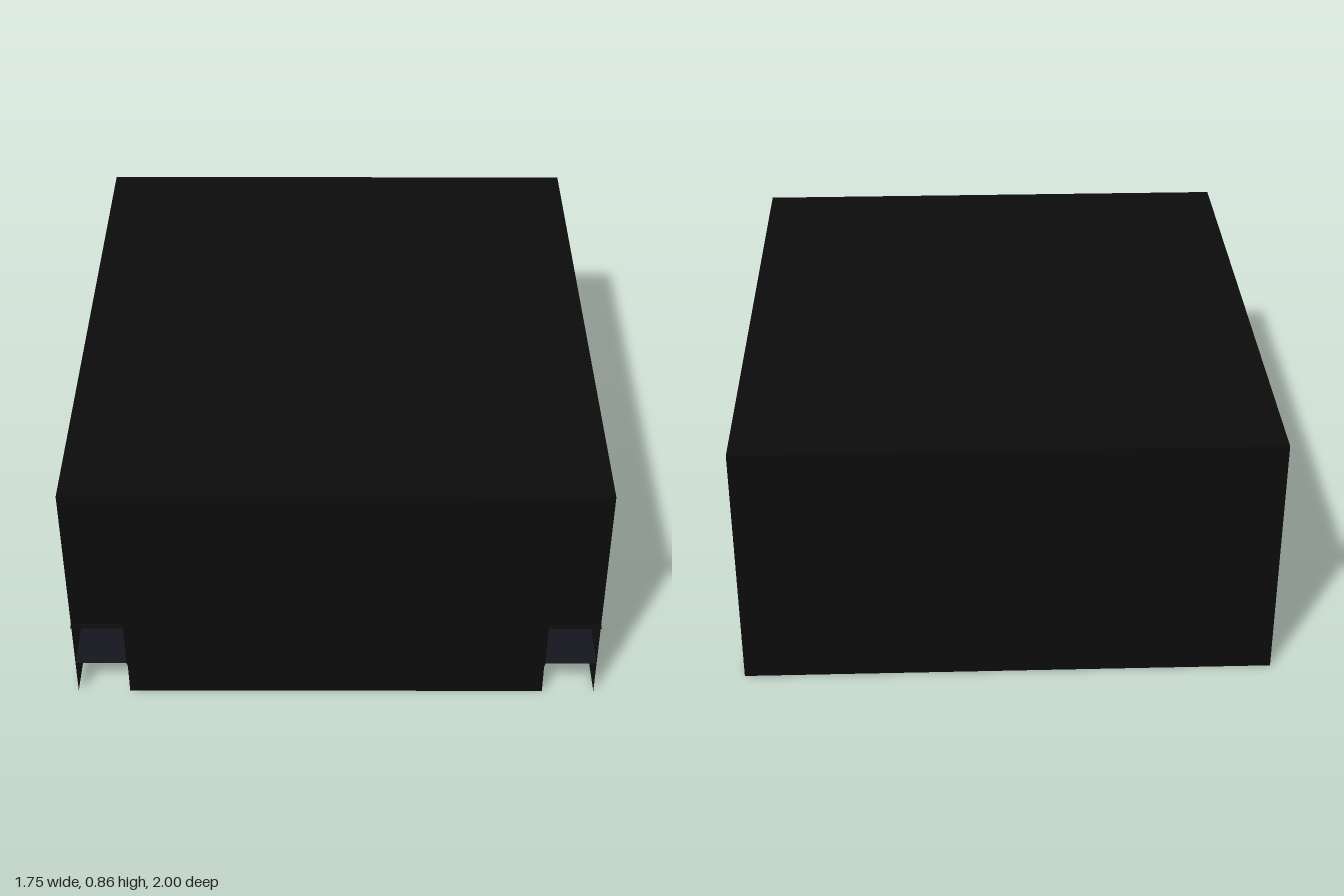
import * as THREE from 'three';

const HALF = 0.875, LANE = 0.7, TOP = 0.857, FRONT = 0.98, LIP = 1;
const MID = -0.23, STAIR = 0.37, FLOOR = 0.13, LINTEL = 0.31;

const mat = (color) =>
  new THREE.MeshStandardMaterial({ color, side: THREE.DoubleSide, flatShading: true });

export function createModel() {
  const model = new THREE.Group();
  const dark = mat(0x0b0b0c), sideWall = mat(0x121213);
  const under = mat(0x0f1118), floor = mat(0x15151d);

  const add = (name, geo, material) => {
    const mesh = new THREE.Mesh(geo, material);
    mesh.name = name;
    model.add(mesh);
  };
  // vertical sheet at x, running in y and z; s is the side it faces
  const upright = (x, s, y0, y1, z0, z1) =>
    new THREE.PlaneGeometry(z1 - z0, y1 - y0).rotateY(s * Math.PI / 2).translate(x, (y0 + y1) / 2, (z0 + z1) / 2);
  // horizontal sheet at y, centred on x
  const level = (x, y, width, z0, z1) =>
    new THREE.PlaneGeometry(width, z1 - z0).rotateX(-Math.PI / 2).translate(x, y, (z0 + z1) / 2);

  // closed rear half
  add('rearBlock', new THREE.BoxGeometry(2 * HALF, TOP, MID + 1).translate(0, TOP / 2, (MID - 1) / 2), dark);

  // hollow front half: roof and front panel with two corner openings
  add('frontRoof', level(0, TOP, 2 * HALF, MID, FRONT), dark);
  const panel = new THREE.Shape([
    [-LANE, 0], [LANE, 0], [LANE, LINTEL], [HALF, LINTEL],
    [HALF, TOP], [-HALF, TOP], [-HALF, LINTEL], [-LANE, LINTEL],
  ].map(([x, y]) => new THREE.Vector2(x, y)));
  add('frontPanel', new THREE.ShapeGeometry(panel).translate(0, 0, FRONT), dark);

  // outer walls and the side passages behind the openings
  const laneWidth = HALF - LANE;
  for (const s of [-1, 1]) {
    const label = s > 0 ? 'left' : 'right';
    const cx = s * (HALF + LANE) / 2;
    add(label + 'SideWall', upright(s * HALF, s, 0, TOP, MID, FRONT), sideWall);
    add(label + 'InnerWall', upright(s * LANE, s, FLOOR, TOP, MID, FRONT), dark);
    add(label + 'InnerWallLip', upright(s * LANE, s, FLOOR, LINTEL, FRONT, LIP), dark);
    add(label + 'PassageCeiling', level(cx, LINTEL, laneWidth, MID, LIP), dark);
    add(label + 'PassageFloor', level(cx, FLOOR, laneWidth, MID, FRONT), floor);
  }

  // stepped underside, rising from the ground towards the front
  const steps = 8, run = (STAIR - MID) / steps, rise = FLOOR / (steps + 1);
  const profile = new THREE.Shape();
  profile.moveTo(MID, FLOOR - 0.002);
  for (let i = 0; i < steps; i++) {
    profile.lineTo(MID + i * run, (i + 0.5) * rise);
    profile.lineTo(MID + (i + 1) * run, (i + 0.5) * rise);
  }
  profile.lineTo(STAIR, FLOOR - 0.002);
  const width = 2 * HALF - 0.004;
  const stairGeo = new THREE.ExtrudeGeometry(profile, { depth: width, bevelEnabled: false });
  add('steppedUnderside', stairGeo.translate(0, 0, -width / 2).rotateY(-Math.PI / 2), under);

  return model;
}
